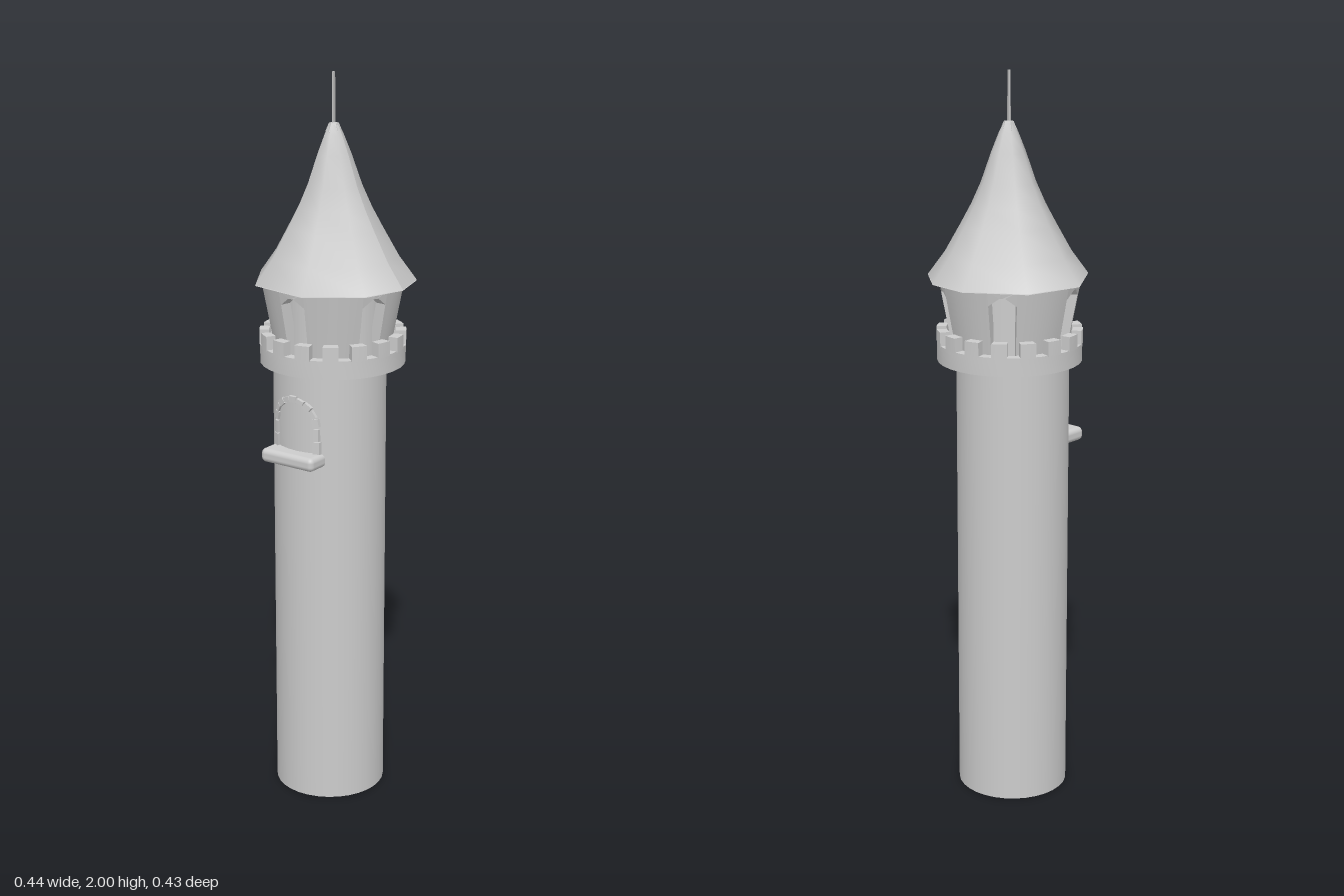
import * as THREE from 'three';
import { toCreasedNormals } from 'three/addons/utils/BufferGeometryUtils.js';
import { RoundedBoxGeometry } from 'three/addons/geometries/RoundedBoxGeometry.js';

const grey = new THREE.MeshStandardMaterial({ color: 0xcccccc, side: THREE.DoubleSide });
const SHAFT_R = 0.152;

function add(parent, name, geometry, x = 0, y = 0, z = 0) {
  const mesh = new THREE.Mesh(geometry, grey);
  mesh.name = name;
  mesh.position.set(x, y, z);
  parent.add(mesh);
  return mesh;
}

// Move every vertex by a rule (x, y, z) => [x, y, z]
function reshape(geometry, rule) {
  const p = geometry.attributes.position;
  for (let i = 0; i < p.count; i++) p.setXYZ(i, ...rule(p.getX(i), p.getY(i), p.getZ(i)));
  geometry.computeVertexNormals();
  return geometry;
}

// Bend geometry given as (angle, height, outward depth) around the tower axis
const bend = (geometry, radius) => reshape(geometry, (a, y, d) => {
  const r = radius(y) + d;
  return [r * Math.sin(a), y, r * Math.cos(a)];
});

const lathe = (pairs, n) => new THREE.LatheGeometry(pairs.map(([r, y]) => new THREE.Vector2(r, y)), n);

function makeParapet() {
  const g = new THREE.Group();
  g.name = 'parapet';
  const ring = lathe([[0.13, 1.235], [0.195, 1.235], [0.195, 1.285], [0.168, 1.285], [0.168, 1.265], [0.12, 1.265]], 32);
  add(g, 'parapetRing', toCreasedNormals(ring, 0.6));
  const count = 16;
  for (let i = 0; i < count; i++) {
    const box = new THREE.BoxGeometry(0.215, 0.04, 0.027, 3, 1, 1);
    box.translate((i + 0.5) * Math.PI * 2 / count, 1.302, -0.0135);
    add(g, 'merlon', bend(box, () => 0.196));
  }
  return g;
}

// Flared gallery with five pointed openings around a plain core
function makeGallery() {
  const g = new THREE.Group();
  g.name = 'gallery';
  const flare = y => 0.164 + (y - 1.32) * 0.19;
  const half = 0.205, sector = Math.PI * 2 / 5, depth = 0.032;
  add(g, 'galleryCore', new THREE.CylinderGeometry(0.138, 0.138, 0.2, 30, 1, true), 0, 1.36, 0);
  for (let i = 0; i < 5; i++) {
    const a = i * sector;
    const wall = new THREE.BoxGeometry(sector - 2 * half, 0.2, depth, 6, 1, 1);
    wall.translate(a + sector / 2, 1.358, -depth / 2);
    add(g, 'galleryWall', bend(wall, flare));
    // Pieces either side of the point above each opening
    for (const s of [-1, 1]) {
      const shape = new THREE.Shape([[s * half, 1.418], [s * half, 1.458], [0, 1.458], [0, 1.44], [s * 0.04, 1.44]]
        .map(([x, y]) => new THREE.Vector2(x, y)));
      const head = new THREE.ExtrudeGeometry(shape, { depth, bevelEnabled: false });
      head.translate(a, 0, -depth);
      add(g, 'openingHead', bend(head, flare));
    }
  }
  return g;
}

// Nine-sided roof with uneven corners
function makeRoof() {
  const g = new THREE.Group();
  g.name = 'roof';
  const corners = [360, 328, 293, 261, 215, 171, 124, 77, 33, 0].map(THREE.MathUtils.degToRad);
  const sweep = pairs => {
    const geo = lathe(pairs, 9), p = geo.attributes.position;
    corners.forEach((a, i) => pairs.forEach(([r, y], j) =>
      p.setXYZ(i * pairs.length + j, r * Math.cos(a), y, r * Math.sin(a))));
    geo.computeVertexNormals();
    return geo;
  };
  add(g, 'roofCone', sweep([[0.219, 1.458], [0.172, 1.522], [0.128, 1.6], [0.1, 1.652], [0.074, 1.71],
    [0.046, 1.79], [0.026, 1.84], [0.014, 1.865]]));
  add(g, 'roofUnderside', sweep([[0.001, 1.456], [0.219, 1.456]]));
  add(g, 'finialBase', toCreasedNormals(lathe([[0.016, 1.835], [0.022, 1.848], [0.013, 1.869], [0, 1.871]], 6), 0.4));
  add(g, 'spire', new THREE.CylinderGeometry(0.005, 0.006, 0.16, 3), -0.002, 1.92, 0);
  return g;
}

// Arched window of loose stones wrapped onto the shaft, above a rounded sill
function makeWindow() {
  const g = new THREE.Group();
  g.name = 'archedWindow';
  const cx = -0.007, rise = 1.1, r = 0.066;
  const stone = (x, y, w, h, turn) => {
    const box = new THREE.BoxGeometry(w, h, 0.024, 2, 2, 1);
    box.rotateZ(turn);
    box.translate(x, y, 0);
    add(g, 'archStone', reshape(box, (px, py, pz) => [px, py, Math.sqrt(SHAFT_R ** 2 - px * px) + pz - 0.003]));
  };
  for (const s of [-1, 1]) {
    stone(cx + s * 0.068, 1.035, 0.016, 0.034, 0);
    stone(cx + s * 0.067, 1.071, 0.013, 0.034, 0);
  }
  for (let i = 0; i < 9; i++) {
    const a = Math.PI * (i + 0.5) / 9;
    stone(cx + r * Math.cos(a), rise - 0.008 + (r + 0.004) * Math.sin(a), i % 2 ? 0.012 : 0.017, 0.022, a);
  }
  add(g, 'windowSill', new RoundedBoxGeometry(0.17, 0.038, 0.08, 3, 0.014), cx, 1.0, 0.152);
  return g;
}

export function createModel() {
  const model = new THREE.Group();
  model.name = 'tower';

  const shaft = new THREE.Group();
  shaft.name = 'shaft';
  shaft.position.set(-0.008, 0, 0.008);
  add(shaft, 'shaftWall', new THREE.CylinderGeometry(SHAFT_R, SHAFT_R, 1.25, 32, 1, true), 0, 0.625, 0);
  shaft.add(makeWindow());

  const crown = new THREE.Group();
  crown.name = 'crown';
  crown.position.set(-0.002, 0, 0.002);
  crown.add(makeParapet(), makeGallery());

  model.add(shaft, crown, makeRoof());
  return model;
}
